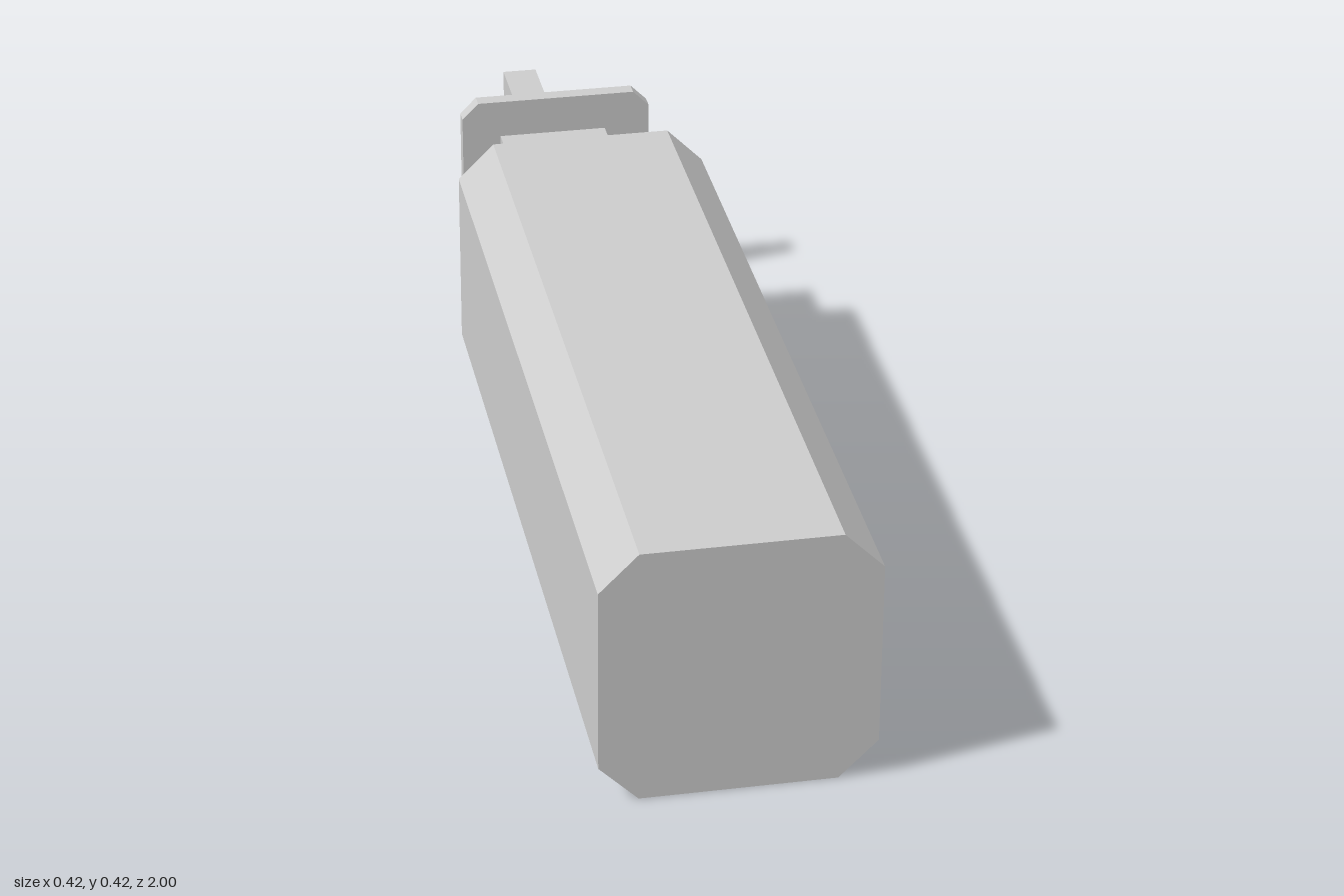
import * as THREE from 'three';

const CENTER_Y = 0.21;

export function createModel() {
  const group = new THREE.Group();
  const grey = new THREE.MeshStandardMaterial({ color: 0xcccccc });
  grey.name = 'light grey';

  function add(name, geometry, x, z) {
    const mesh = new THREE.Mesh(geometry, grey);
    mesh.name = name;
    mesh.position.set(x, CENTER_Y, z);
    group.add(mesh);
  }

  // Square block between two depths
  function block(name, width, height, zBack, zFront, x = 0) {
    add(name, new THREE.BoxGeometry(width, height, zFront - zBack), x, (zBack + zFront) / 2);
  }

  // Square prism with its four long edges cut off
  function chamferedPrism(name, half, cut, zBack, zFront) {
    const inner = half - cut;
    const shape = new THREE.Shape([
      [half, -inner], [half, inner], [inner, half], [-inner, half],
      [-half, inner], [-half, -inner], [-inner, -half], [inner, -half],
    ].map(([x, y]) => new THREE.Vector2(x, y)));
    const geometry = new THREE.ExtrudeGeometry(shape, { depth: zFront - zBack, bevelEnabled: false });
    add(name, geometry, 0, zBack);
  }

  chamferedPrism('body', 0.21, 0.06, -0.34, 1);
  block('collar', 0.3, 0.3, -0.43, -0.34);
  block('neck', 0.186, 0.2, -0.592, -0.43, -0.006);
  chamferedPrism('flangePlate', 0.166, 0.028, -0.618, -0.592);
  block('rod', 0.06, 0.06, -1, -0.618);

  return group;
}
